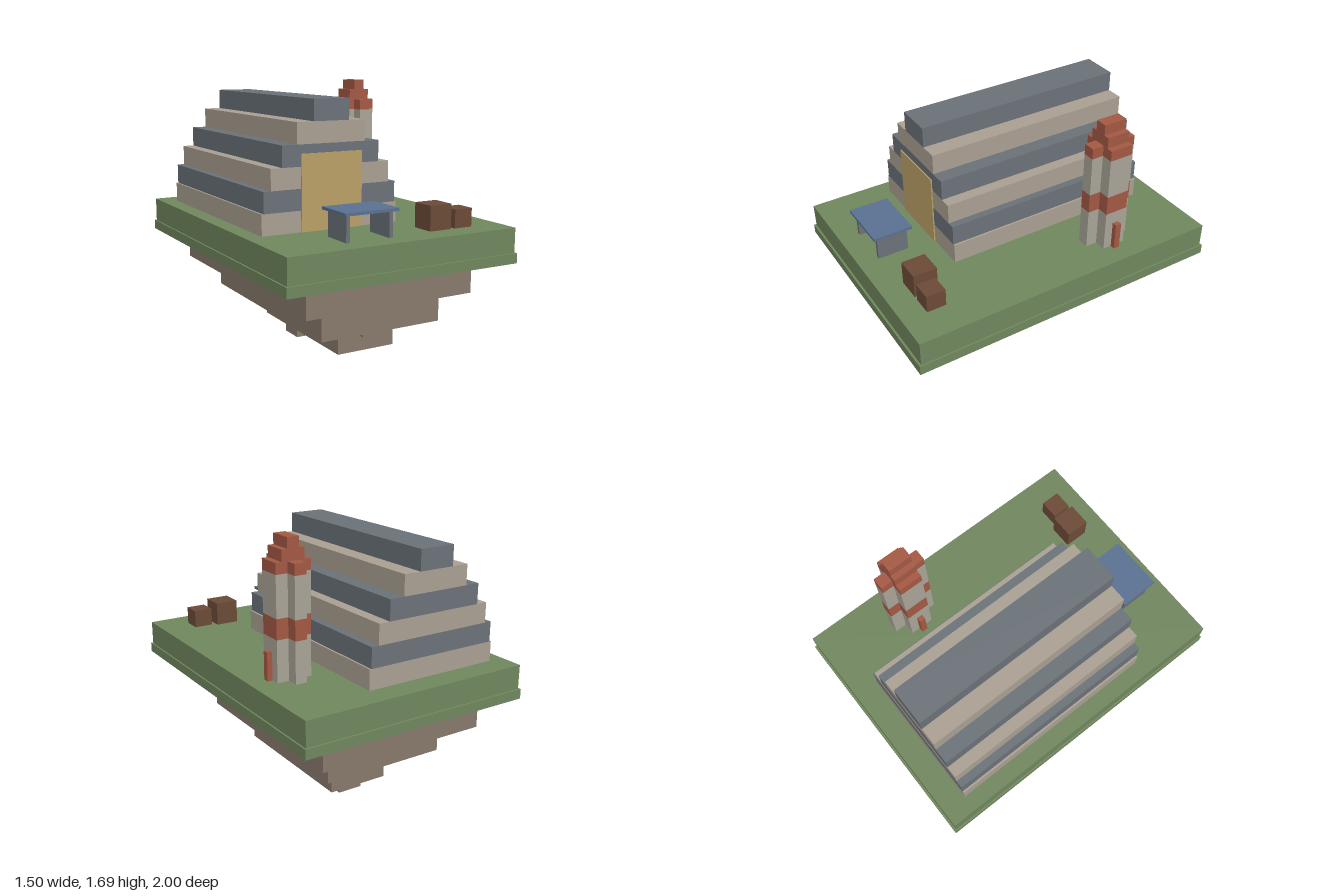
import * as THREE from 'three';

const mat = (name, color) => {
  const m = new THREE.MeshStandardMaterial({ color });
  m.name = name;
  return m;
};

export function createModel() {
  const grass = mat('grass green', 0x6f865d);
  const rock = mat('rock brown', 0x87796b);
  const slate = mat('slate grey', 0x6a7177);
  const stone = mat('warm stone', 0xa89f91);
  const pale = mat('pale stone', 0xa8a396);
  const brick = mat('brick red', 0xa35843);
  const wood = mat('dark wood', 0x6b4a37);
  const ochre = mat('ochre', 0xba9f66);
  const blue = mat('table blue', 0x5a7090);

  const model = new THREE.Group();
  model.name = 'floatingIsland';
  const group = (name) => {
    const g = new THREE.Group();
    g.name = name;
    model.add(g);
    return g;
  };
  // Box given by its extents along each axis
  const box = (parent, name, material, [x0, x1], [y0, y1], [z0, z1]) => {
    const mesh = new THREE.Mesh(new THREE.BoxGeometry(x1 - x0, y1 - y0, z1 - z0), material);
    mesh.position.set((x0 + x1) / 2, (y0 + y1) / 2, (z0 + z1) / 2);
    mesh.name = name;
    parent.add(mesh);
  };

  // Grassy slab with a lip below
  const island = group('island');
  box(island, 'grassLip', grass, [-0.75, 0.75], [0.67, 0.73], [-1, 1]);
  box(island, 'grassSlab', grass, [-0.74, 0.74], [0.73, 0.88], [-0.987, 0.987]);

  // Stepped rock underside
  [
    [[-0.553, 0.551], [0.48, 0.67], [-0.853, 0.835]],
    [[-0.395, 0.405], [0.3, 0.48], [-0.685, 0.722]],
    [[-0.142, 0.247], [0.105, 0.3], [-0.485, 0.477]],
    [[-0.062, 0.102], [0, 0.105], [-0.354, -0.193]],
    [[-0.057, 0.046], [0.24, 0.3], [0.514, 0.617]],
  ].forEach((b, i) => box(island, `rockStep${i + 1}`, rock, ...b));

  // Long hangar of stepped tiers in alternating colours
  const hangar = group('hangar');
  const tierH = 0.1235;
  [0.441, 0.429, 0.383, 0.313, 0.221, 0.114].forEach((half, i) => {
    const y = 0.88 + i * tierH;
    box(hangar, `tier${i + 1}`, i % 2 ? slate : stone, [-0.2 - half, -0.2 + half], [y, y + tierH], [-0.837, 0.495]);
  });
  box(hangar, 'door', ochre, [-0.396, -0.003], [0.88, 1.322], [0.495, 0.503]);

  // Tower: cross-shaped block plan, 3 wide and 4 deep
  const tower = group('tower');
  const cx = 0.489, cz = -0.396, s = 0.0735;
  const plan = [];
  for (const i of [-1, 0, 1]) {
    for (const k of [-1.5, -0.5, 0.5, 1.5]) {
      if (i === 0 || Math.abs(k) < 1) plan.push([cx + i * s, cz + k * s]);
    }
  }
  [
    [0.88, 1.005, pale], [1.005, 1.13, pale], [1.13, 1.25, brick],
    [1.25, 1.373, pale], [1.373, 1.495, pale], [1.495, 1.56, brick],
  ].forEach(([y0, y1, m], layer) => {
    for (const [x, z] of plan) {
      box(tower, `layer${layer + 1}Block`, m, [x - s / 2, x + s / 2], [y0, y1], [z - s / 2, z + s / 2]);
    }
  });
  // Narrowing cap
  for (const z of [cz - s, cz]) {
    box(tower, 'capLower', brick, [cx - 0.072, cx + 0.072], [1.56, 1.627], [z, z + s]);
    box(tower, 'capUpper', brick, [cx - s / 2, cx + s / 2], [1.627, 1.69], [z, z + s]);
  }
  // Side fins
  for (const d of [-1, 1]) {
    const x = cx + d * 0.123;
    box(tower, 'fin', brick, [x - 0.019, x + 0.019], [0.88, 1.05], [cz - 0.019, cz + 0.019]);
  }

  // Table on two plank legs
  const table = group('table');
  box(table, 'tableTop', blue, [-0.346, -0.003], [1.03, 1.047], [0.642, 0.887]);
  for (const x of [-0.312, -0.038]) {
    box(table, 'tableLeg', slate, [x - 0.0115, x + 0.0115], [0.88, 1.03], [0.668, 0.861]);
  }

  // Crates
  const crates = group('crates');
  box(crates, 'largeCrate', wood, [0.244, 0.391], [0.88, 1.027], [0.689, 0.836]);
  box(crates, 'smallCrate', wood, [0.419, 0.539], [0.88, 0.99], [0.717, 0.836]);

  return model;
}
